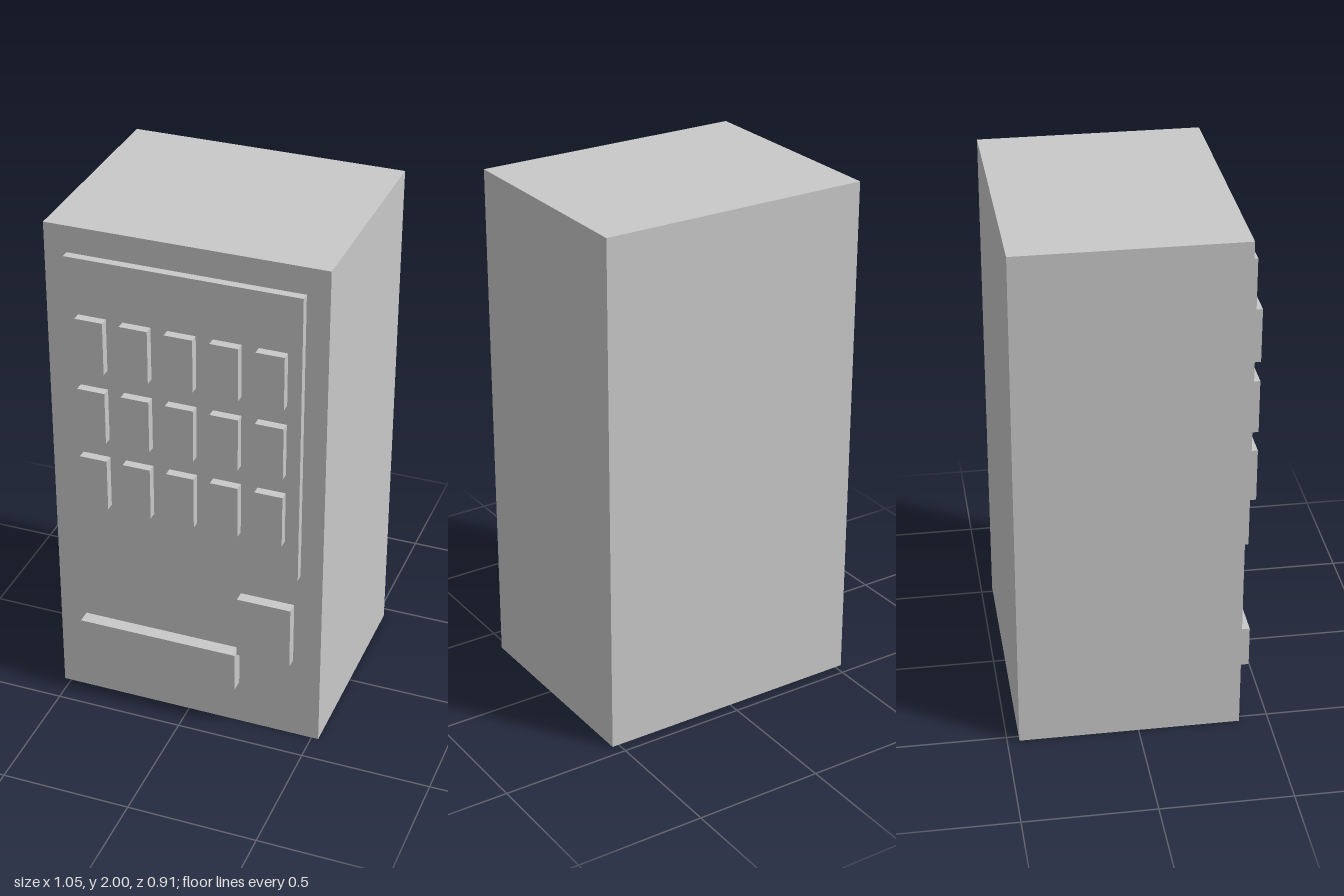
import * as THREE from 'three';

export function createModel() {
  const group = new THREE.Group();
  group.name = 'vendingMachine';
  const grey = new THREE.MeshStandardMaterial({ color: 0xc8c8c8 });
  grey.name = 'light grey';

  // Box given by its limits on each axis
  function block(name, [x0, x1], [y0, y1], [z0, z1], parent = group) {
    const mesh = new THREE.Mesh(new THREE.BoxGeometry(x1 - x0, y1 - y0, z1 - z0), grey);
    mesh.position.set((x0 + x1) / 2, (y0 + y1) / 2, (z0 + z1) / 2);
    mesh.name = name;
    parent.add(mesh);
  }

  const face = 0.388; // front of the cabinet
  const glass = 0.42; // front of the display panel

  block('cabinet', [-0.527, 0.527], [0, 2], [-0.454, face]);
  block('displayPanel', [-0.442, 0.442], [0.74, 1.897], [face, glass]);
  block('paymentPanel', [0.211, 0.42], [0.348, 0.603], [face, 0.431]);
  block('dispenserTray', [-0.422, 0.206], [0.185, 0.348], [face, 0.441]);

  // Products: three rows of five
  const products = new THREE.Group();
  products.name = 'products';
  group.add(products);
  for (let row = 0; row < 3; row++) {
    for (let col = 0; col < 5; col++) {
      const x = (col - 2) * 0.169 - 0.001;
      const y = 1.003 + row * 0.285;
      block('product', [x - 0.053, x + 0.053], [y - 0.104, y + 0.104], [glass, 0.454], products);
    }
  }
  return group;
}
